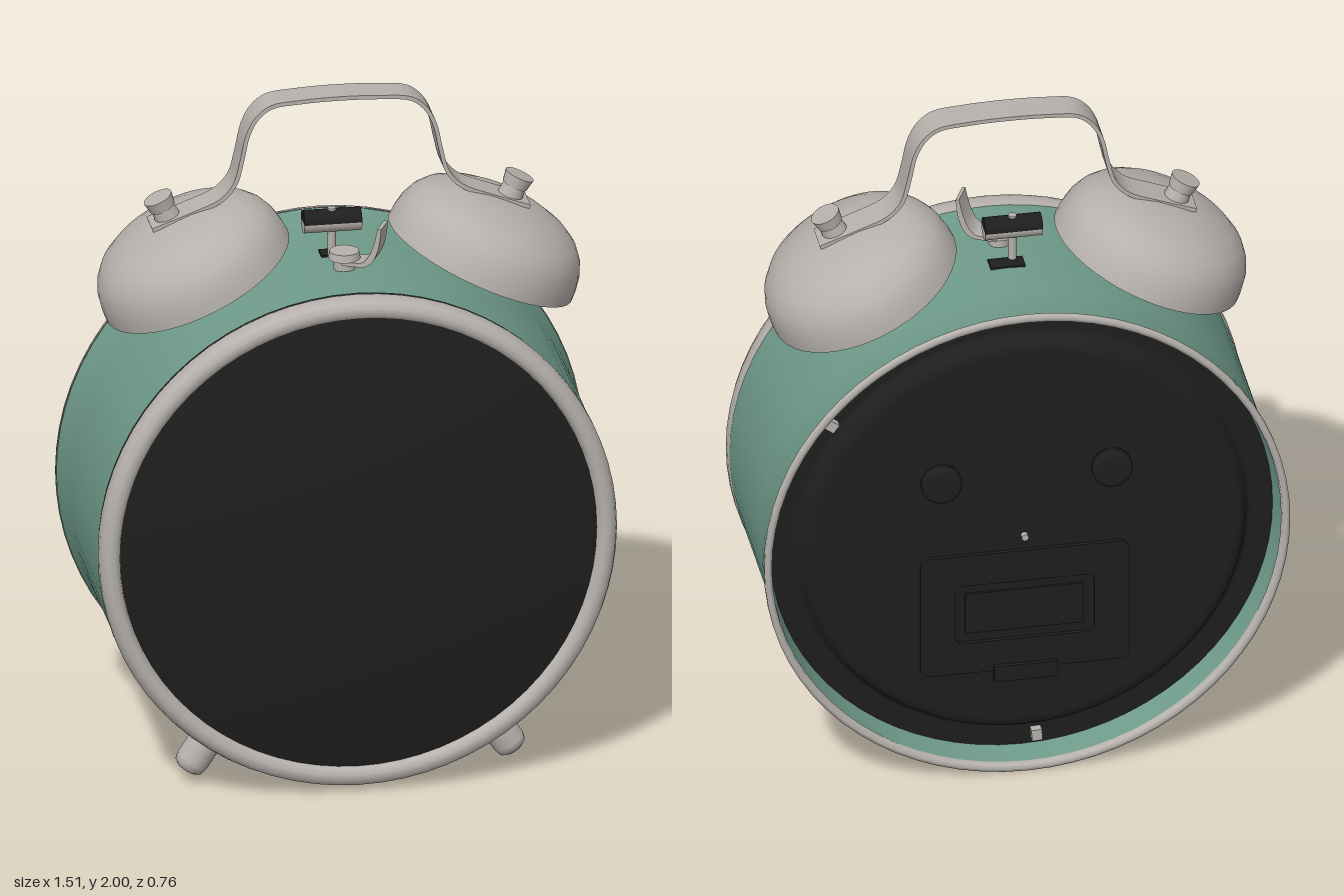
import * as THREE from 'three';

const mat = (name, color, side = THREE.FrontSide) => {
  const m = new THREE.MeshStandardMaterial({ color, side });
  m.name = name;
  return m;
};

export function createModel() {
  const metal = mat('warm grey metal', 0xb6b1ac, THREE.DoubleSide);
  const teal = mat('teal enamel', 0x6f9b8b, THREE.DoubleSide);
  const black = mat('black plastic', 0x1e1e1e, THREE.DoubleSide);
  const clock = new THREE.Group();
  clock.name = 'alarmClock';
  const CY = 0.76, STRAP_Z = -0.035;

  const add = (name, geo, material, x = 0, y = 0, z = 0, parent = clock) => {
    const mesh = new THREE.Mesh(geo, material);
    mesh.name = name;
    mesh.position.set(x, y, z);
    parent.add(mesh);
    return mesh;
  };
  const lathe = (pts, seg = 48) => new THREE.LatheGeometry(pts.map(p => new THREE.Vector2(...p)), seg);
  // profile points are [radius, z] about the clock's centre line
  const turned = (name, pts, material) => add(name, lathe(pts, 72).rotateX(Math.PI / 2), material, 0, CY);
  const cyl = (r0, r1, h, seg = 24) => new THREE.CylinderGeometry(r0, r1, h, seg);
  const roundRect = (cls, w, h, r) => {
    const s = new cls(), x = w / 2, y = h / 2, k = Math.PI / 2;
    s.absarc(x - r, y - r, r, 0, k);
    s.absarc(-x + r, y - r, r, k, 2 * k);
    s.absarc(-x + r, -y + r, r, 2 * k, 3 * k);
    s.absarc(x - r, -y + r, r, 3 * k, 4 * k);
    s.closePath();
    return s;
  };

  // Case, front ring and domed face
  turned('caseShell', [[0.753, -0.362], [0.75, -0.34], [0.742, -0.28], [0.738, -0.22], [0.738, 0.255]], teal);
  turned('caseBackRim', [[0.732, -0.355], [0.734, -0.372], [0.745, -0.376], [0.755, -0.372], [0.755, -0.36]], metal);
  turned('caseInnerWall', [[0.72, -0.27], [0.735, -0.36]], teal);
  turned('bezel', [[0.715, 0.25], [0.735, 0.252], [0.741, 0.27], [0.741, 0.295], [0.734, 0.317],
    [0.718, 0.329], [0.7, 0.329], [0.686, 0.32], [0.68, 0.295]], metal);
  const dome = [];
  for (let i = 0; i <= 12; i++) {
    const r = 0.69 * (1 - i / 12);
    dome.push([r, 0.38 - 0.165 * r * r]);
  }
  turned('faceDome', dome, black);

  // Back plate with its raised centre
  turned('backPlate', [[0, -0.325], [0.6, -0.325], [0.618, -0.324], [0.635, -0.315], [0.645, -0.29],
    [0.65, -0.282], [0.66, -0.28], [0.73, -0.28]], black);
  for (const s of [-1, 1]) {
    add('backKnob', lathe([[0, -0.384], [0.045, -0.384], [0.055, -0.38], [0.058, -0.37], [0.058, -0.35],
      [0.03, -0.345], [0.03, -0.32]], 24).rotateX(Math.PI / 2), black, s * 0.245, 0.98);
  }
  add('centrePin', cyl(0.01, 0.01, 0.02, 12).rotateX(Math.PI / 2), metal, 0, CY, -0.332);
  for (const a of [0.64, -1.63]) {
    const clip = add('backClip', new THREE.BoxGeometry(0.035, 0.03, 0.03), metal,
      0.685 * Math.cos(a), CY + 0.685 * Math.sin(a), -0.29);
    clip.rotation.z = a;
  }

  // Battery door
  const door = roundRect(THREE.Shape, 0.6, 0.39, 0.03);
  door.holes.push(roundRect(THREE.Path, 0.4, 0.19, 0.02));
  add('batteryDoor', new THREE.ExtrudeGeometry(door, { depth: 0.012, bevelEnabled: false, curveSegments: 5 }),
    black, 0, 0.52, -0.337);
  add('doorPanel', new THREE.BoxGeometry(0.34, 0.13, 0.008), black, 0, 0.52, -0.328);
  add('doorLatch', new THREE.BoxGeometry(0.18, 0.05, 0.03), black, 0, 0.32, -0.335);

  // Bells, bolts, posts and feet, mirrored
  const bellProfile = [[0.286, 0], [0.284, 0.03], [0.277, 0.07], [0.262, 0.105], [0.235, 0.138],
    [0.195, 0.164], [0.14, 0.184], [0.08, 0.196], [0, 0.2]];
  for (const s of [-1, 1]) {
    const bell = new THREE.Group();
    bell.name = s > 0 ? 'leftBell' : 'rightBell';
    bell.position.set(s * 0.405, 1.465, STRAP_Z);
    bell.rotation.z = -s * 0.435;
    clock.add(bell);
    add('bellCup', lathe(bellProfile), metal, 0, 0, 0, bell);
    add('bellPost', cyl(0.021, 0.021, 0.32, 16), metal, 0, 0.04, 0, bell);
    add('boltNeck', cyl(0.032, 0.038, 0.05), metal, 0, 0.218, 0, bell);
    add('boltHead', cyl(0.043, 0.037, 0.034), metal, 0, 0.252, 0, bell);

    const foot = add('foot', lathe([[0.04, 0], [0.048, 0.02], [0.048, 0.15], [0.043, 0.17], [0.028, 0.18], [0, 0.183]], 24),
      metal, s * 0.37, CY - 0.565, 0.16);
    foot.rotation.z = Math.PI + s * 0.58;
  }

  // Carrying handle: a bent strap of even thickness
  const half = [[0.54, 1.628], [0.42, 1.672], [0.345, 1.705], [0.305, 1.75], [0.285, 1.82], [0.267, 1.9],
    [0.24, 1.95], [0.2, 1.98], [0.12, 1.99]];
  const path = new THREE.CatmullRomCurve3([...half.map(([x, y]) => [-x, y]), [0, 1.994], ...half.slice().reverse()]
    .map(([x, y]) => new THREE.Vector3(x, y, 0)));
  const outer = [], inner = [];
  for (let i = 0; i <= 72; i++) {
    const p = path.getPoint(i / 72), t = path.getTangent(i / 72);
    outer.push(new THREE.Vector2(p.x - t.y * 0.006, p.y + t.x * 0.006));
    inner.unshift(new THREE.Vector2(p.x + t.y * 0.006, p.y - t.x * 0.006));
  }
  add('handle', new THREE.ExtrudeGeometry(new THREE.Shape([...outer, ...inner]), { depth: 0.095, bevelEnabled: false }),
    metal, 0, 0, STRAP_Z - 0.0475);

  // Hammer between the bells
  add('hammerSlot', new THREE.BoxGeometry(0.1, 0.008, 0.05), black, 0, 1.498, STRAP_Z - 0.02);
  add('hammerStem', cyl(0.012, 0.012, 0.15, 12), metal, -0.02, 1.57, STRAP_Z);
  const halfBarrel = start => new THREE.CylinderGeometry(0.033, 0.033, 0.165, 16, 1, false, start, Math.PI)
    .rotateZ(Math.PI / 2);
  add('hammerTop', halfBarrel(Math.PI), metal, -0.02, 1.607, STRAP_Z);
  add('hammerUnderside', halfBarrel(0), black, -0.02, 1.607, STRAP_Z);

  // Stop lever: knob with an upturned blade
  const lever = new THREE.Group();
  lever.name = 'stopLever';
  lever.position.set(0, 1.5, 0.06);
  lever.rotation.y = -0.45;
  clock.add(lever);
  add('leverBase', cyl(0.03, 0.03, 0.04), metal, 0, 0.005, 0, lever);
  add('leverKnob', cyl(0.042, 0.046, 0.022), metal, 0, 0.04, 0, lever);
  const blade = new THREE.Shape();
  blade.moveTo(0, 0.018);
  blade.lineTo(0.06, 0.018);
  blade.quadraticCurveTo(0.112, 0.025, 0.118, 0.14);
  blade.lineTo(0.108, 0.142);
  blade.quadraticCurveTo(0.09, 0.04, 0.055, 0.03);
  blade.lineTo(0, 0.03);
  blade.closePath();
  add('leverBlade', new THREE.ExtrudeGeometry(blade, { depth: 0.07, bevelEnabled: false }), metal, 0, 0, -0.035, lever);

  return clock;
}
